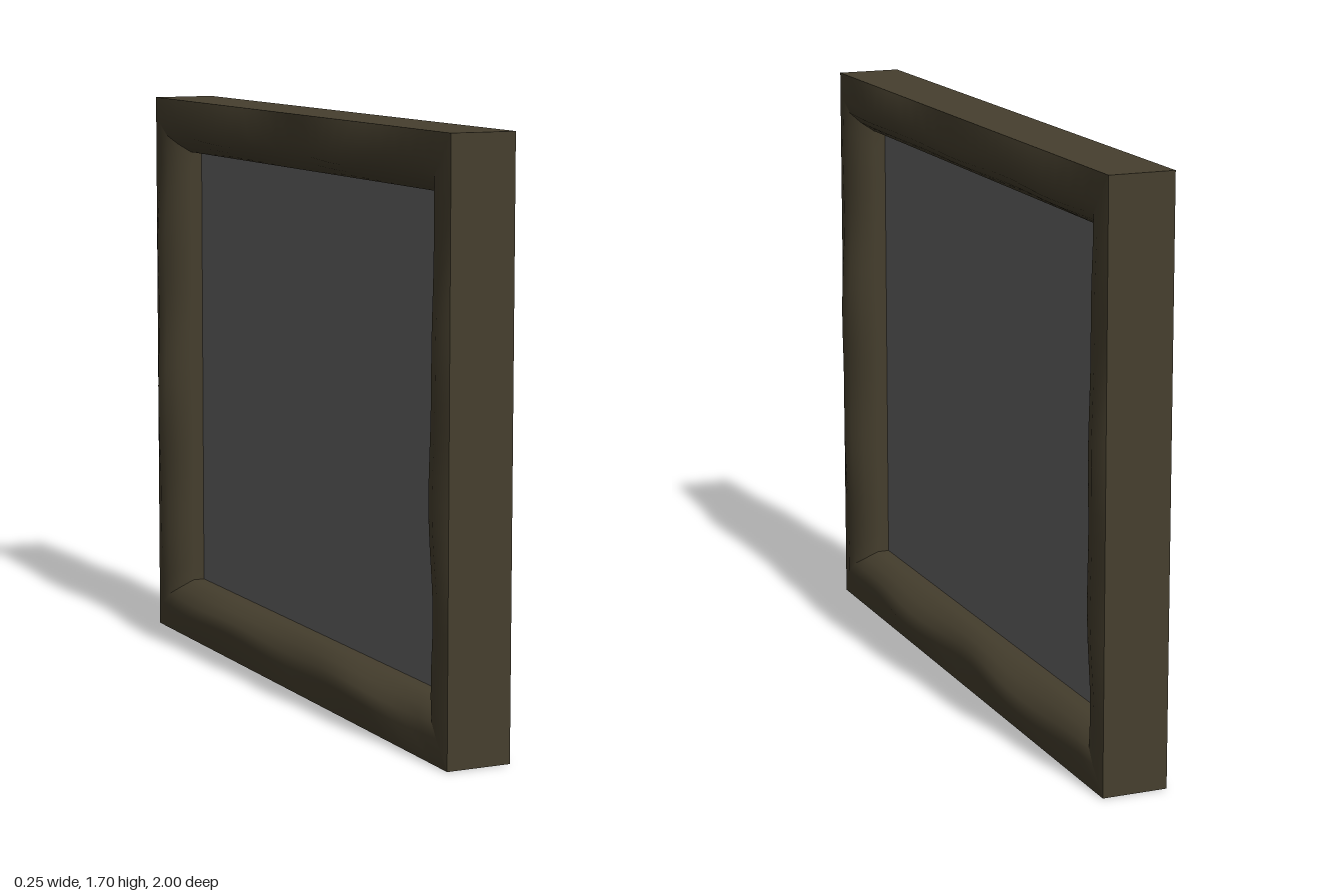
import * as THREE from 'three';
import { toCreasedNormals } from 'three/addons/utils/BufferGeometryUtils.js';

const HALF_Z = 1, HALF_Y = 0.8475, STEPS = 24;

// Bar cross-section, outer edge to pane: inset in z, inset in y, half depth, share of bulge
const HALF_PROFILE = [
  [0, 0, 0.095, 0],
  [0.05, 0.08, 0.103, 1],
  [0.09, 0.115, 0.096, 0.8],
  [0.125, 0.14, 0.074, 0.4],
  [0.15, 0.165, 0.04, 0],
];
// Closed loop: +x side from outside to inside, then -x side back out
const LOOP = [
  ...HALF_PROFILE.map(([dz, dy, x, w]) => ({ dz, dy, x, w })),
  ...HALF_PROFILE.map(([dz, dy, x, w]) => ({ dz, dy, x: -x, w })).reverse(),
];

// One mitred, hand-hewn bar running between two corners of the frame
function makeBar(from, to, bulge, phase) {
  const positions = [], index = [], n = LOOP.length;
  for (let k = 0; k <= STEPS; k++) {
    const t = k / STEPS, s = 2 * t - 1;
    const fade = 1 - s ** 6; // irregularities vanish at the mitres
    LOOP.forEach(({ dz, dy, x, w }) => {
      const side = Math.sign(x);
      const hewn = 0.004 * Math.sin(s * 9 + phase + side) * fade;
      const depth = x + side * w * (bulge(s) + hewn);
      const wave = 0.008 * w * Math.sin(s * 7 + phase * 2 + side * 2) * fade;
      const corner = ([cz, cy]) => [cz * (HALF_Z - dz - wave), cy * (HALF_Y - dy - wave)];
      const [az, ay] = corner(from), [bz, by] = corner(to);
      positions.push(depth, HALF_Y + ay + (by - ay) * t, az + (bz - az) * t);
    });
  }
  for (let k = 0; k < STEPS; k++) {
    for (let j = 0; j < n; j++) {
      const a = k * n + j, b = k * n + (j + 1) % n;
      index.push(a, b, b + n, a, b + n, a + n);
    }
  }
  const geometry = new THREE.BufferGeometry();
  geometry.setAttribute('position', new THREE.Float32BufferAttribute(positions, 3));
  geometry.setIndex(index);
  return toCreasedNormals(geometry, 0.9);
}

export function createModel() {
  const group = new THREE.Group();
  group.name = 'framedWindow';

  const wood = new THREE.MeshStandardMaterial({ color: 0x463f2e });
  wood.name = 'dark wood';
  const glass = new THREE.MeshStandardMaterial({ color: 0x686868 });
  glass.name = 'grey glass';

  // Rails swell twice along their length, posts once in the middle
  const railBulge = (s) => 0.019 * Math.sin(Math.PI * s) ** 2;
  const postBulge = (s) => 0.012 * Math.cos(Math.PI * s / 2) ** 2;

  const corners = [[1, 1], [-1, 1], [-1, -1], [1, -1]];
  ['topRail', 'backPost', 'bottomRail', 'frontPost'].forEach((name, i) => {
    const bulge = i % 2 ? postBulge : railBulge;
    const bar = new THREE.Mesh(makeBar(corners[i], corners[(i + 1) % 4], bulge, i * 1.7), wood);
    bar.name = name;
    group.add(bar);
  });

  // Thin pane set in the middle of the frame
  const pane = new THREE.Mesh(new THREE.BoxGeometry(0.008, 1.38, 1.72), glass);
  pane.name = 'pane';
  pane.position.y = HALF_Y;
  group.add(pane);

  return group;
}
